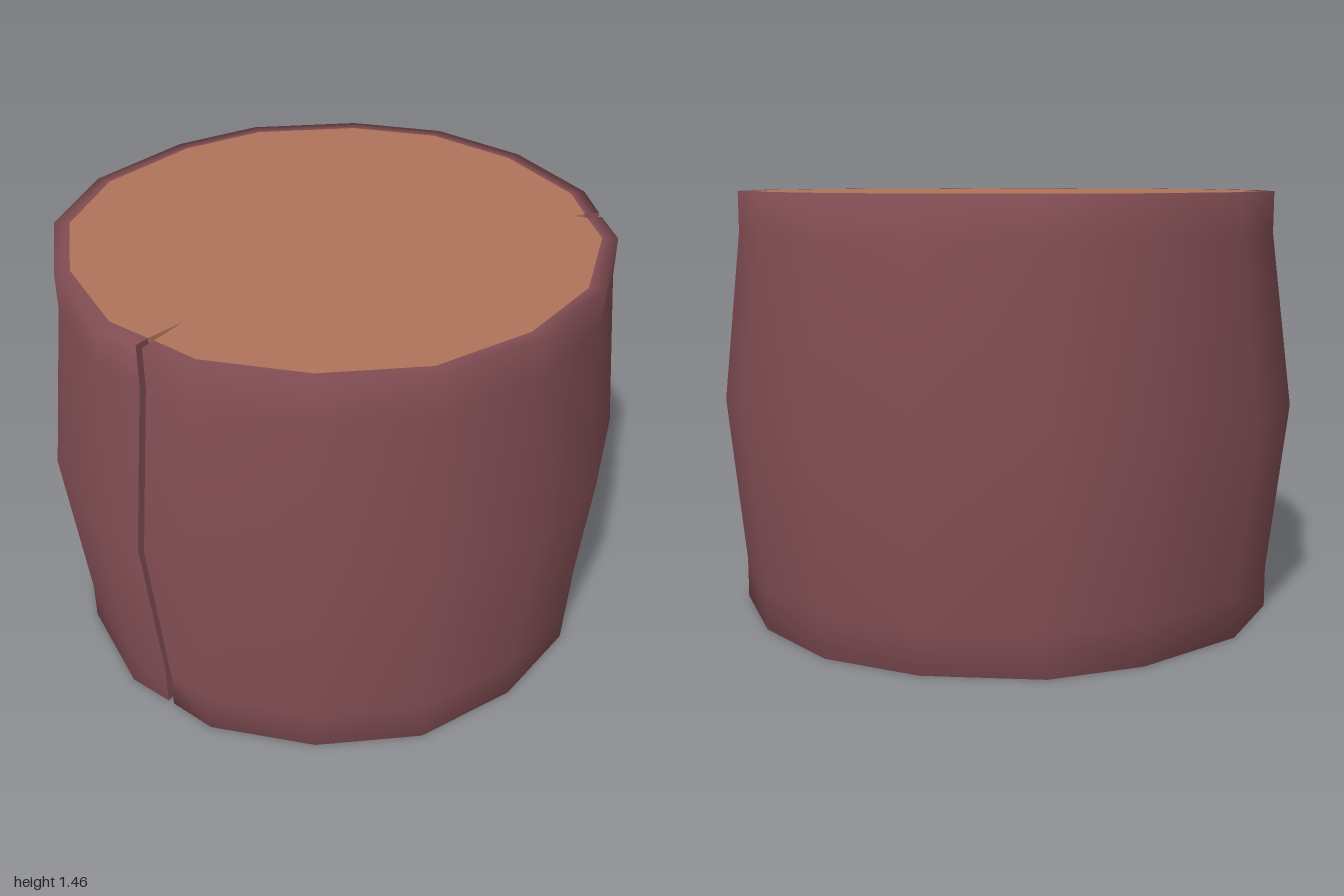
import * as THREE from 'three';

// Outline (x, z) at the belly, as two arcs separated by the two splits
const ARCS = [
  [[0.655, -0.738], [0.79, -0.63], [0.96, -0.27], [0.98, 0.11], [0.87, 0.49], [0.61, 0.78], [0.27, 0.97], [0.084, 0.982]],
  [[0.058, 0.985], [-0.12, 1.0], [-0.5, 0.86], [-0.8, 0.62], [-0.975, 0.27], [-0.985, -0.17], [-0.88, -0.5],
    [-0.6, -0.81], [-0.28, -0.98], [0.1, -1.0], [0.49, -0.88], [0.63, -0.76]],
];
// Inner end of the split that follows each arc
const TIPS = [[0.07, 0.74], [0.545, -0.63]];
const INSET = 0.945;
const H = 1.46;
// height, outline scale, x shift, split-tip scale
const LEVELS = [
  [0, 0.94, 0.007, 1.06],
  [0.14, 0.94, 0.007, 1.08],
  [0.73, 1, 0, 1.15],
  [1.32, 0.932, 0.01, 1.05],
  [H, 0.932, 0.01, 1],
];

const place = ([x, z], [y, s, dx], k = 1) => [x * s * k + dx * k, y, z * s * k];

// Smooth sheet through rows of points (all rows the same length)
function sheet(rows, material, name) {
  const n = rows[0].length, index = [];
  for (let r = 0; r < rows.length - 1; r++) {
    for (let i = 0; i < n - 1; i++) {
      const a = r * n + i, b = a + 1, c = a + n, d = c + 1;
      index.push(a, c, d, a, d, b);
    }
  }
  const geo = new THREE.BufferGeometry();
  geo.setAttribute('position', new THREE.Float32BufferAttribute(rows.flat(2), 3));
  geo.setIndex(index);
  geo.computeVertexNormals();
  const mesh = new THREE.Mesh(geo, material);
  mesh.name = name;
  return mesh;
}

export function createModel() {
  const group = new THREE.Group();
  group.name = 'log';
  const bark = new THREE.MeshStandardMaterial({ color: 0x844f55 });
  bark.name = 'bark';
  const wood = new THREE.MeshStandardMaterial({ color: 0xb0745a });
  wood.name = 'cut wood';
  bark.side = wood.side = THREE.DoubleSide;

  const first = LEVELS[0], last = LEVELS[LEVELS.length - 1];

  // Bark: rim, side and rim in one smooth skin per arc
  ARCS.forEach((arc, i) => {
    const rows = [
      arc.map(p => place(p, first, INSET)),
      ...LEVELS.map(l => arc.map(p => place(p, l))),
      arc.map(p => place(p, last, INSET)),
    ];
    group.add(sheet(rows, bark, i ? 'barkLeftHalf' : 'barkRightHalf'));
  });

  // Splits: two walls each, bark at the lip and wood inside
  TIPS.forEach((tip, i) => {
    const lips = [ARCS[i][ARCS[i].length - 1], ARCS[1 - i][0]];
    const tipAt = l => [tip[0] * l[3], l[0], tip[1] * l[3]];
    lips.forEach((lip, j) => {
      const order = row => (j ? row.reverse() : row);
      group.add(sheet(LEVELS.map(l => order([place(lip, l), place(lip, l, INSET)])), bark, 'splitLip'));
      group.add(sheet(LEVELS.map(l => order([place(lip, l, INSET), tipAt(l)])), wood, 'splitWall'));
    });
  });

  // Cut ends with the splits notched in
  const addEnd = (level, dir, name) => {
    const pts = ARCS.flatMap((arc, i) => [
      ...arc.map(p => place(p, level, INSET)),
      [TIPS[i][0] * level[3], 0, TIPS[i][1] * level[3]],
    ]).map(([x, , z]) => new THREE.Vector2(x, -dir * z));
    const geo = new THREE.ShapeGeometry(new THREE.Shape(pts));
    geo.rotateX(-dir * Math.PI / 2);
    geo.translate(0, level[0], 0);
    const mesh = new THREE.Mesh(geo, wood);
    mesh.name = name;
    group.add(mesh);
  };
  addEnd(last, 1, 'topCut');
  addEnd(first, -1, 'bottomCut');
  return group;
}
